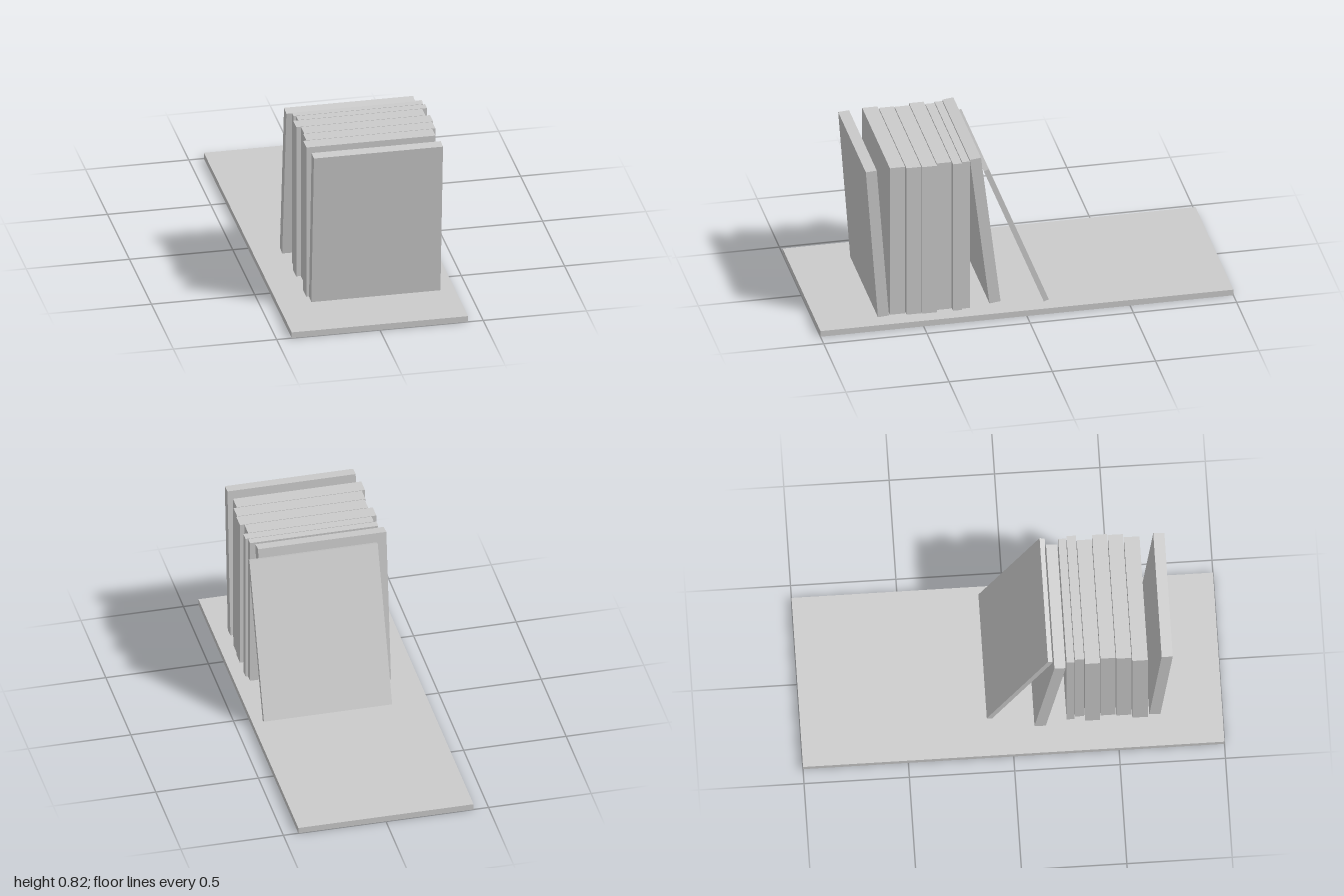
import * as THREE from 'three';

const BOOK_WIDTH = 0.625;
const BOOK_HEIGHT = 0.785;

export function createModel() {
  const group = new THREE.Group();
  const material = new THREE.MeshStandardMaterial({ color: 0xcccccc, flatShading: true });

  function box(name, w, h, d, x, y, z, tilt = 0) {
    const mesh = new THREE.Mesh(new THREE.BoxGeometry(w, h, d), material);
    mesh.name = name;
    mesh.position.set(x, y, z);
    mesh.rotation.x = tilt;
    group.add(mesh);
  }

  // Shelf board
  box('shelf', 0.854, 0.03, 2, 0, 0.015, 0);

  // Upright books: [centre x, back z, front z]
  const upright = [
    [0.032, 0.572, 0.646],
    [0.048, 0.497, 0.569],
    [0.053, 0.422, 0.494],
    [0.031, 0.348, 0.419],
    [0.055, 0.301, 0.345],
    [0.043, 0.261, 0.298],
  ];
  upright.forEach(([x, back, front], i) =>
    box(`uprightBook${i + 1}`, BOOK_WIDTH, BOOK_HEIGHT, front - back, x, 0.428, (front + back) / 2));

  // Leaning books: [name, thickness, x, y, z, tilt]
  const leaning = [
    ['frontLeaningBook', 0.053, 0.043, 0.428, 0.709, 0.075],
    ['backLeaningBook', 0.054, 0.018, 0.428, 0.181, 0.121],
    ['thinLeaningBook', 0.026, 0.067, 0.412, 0.041, 0.379],
  ];
  for (const [name, thickness, x, y, z, tilt] of leaning)
    box(name, BOOK_WIDTH, BOOK_HEIGHT, thickness, x, y, z, tilt);

  return group;
}
